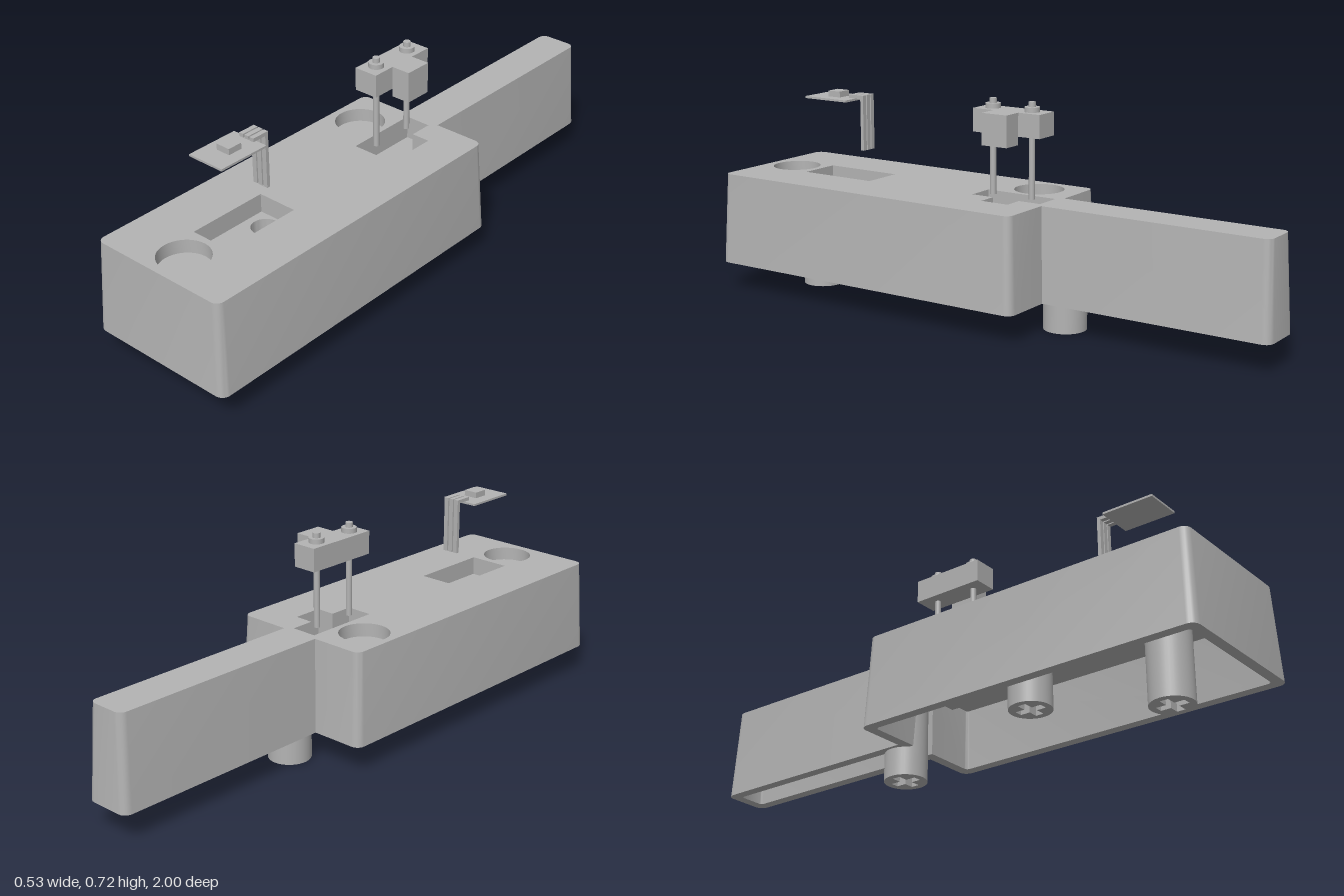
import * as THREE from 'three';
import { mergeGeometries, toCreasedNormals } from 'three/addons/utils/BufferGeometryUtils.js';

const grey = new THREE.MeshStandardMaterial({ color: 0xb3b3b3 });
grey.name = 'plain grey';

const TOP = 0.408, RIM = 0.095, CEILING = 0.3;

function mesh(parent, name, geometry) {
  const m = new THREE.Mesh(geometry, grey);
  m.name = name;
  parent.add(m);
  return m;
}

// Box given by its limits on each axis
function box(parent, name, x0, x1, y0, y1, z0, z1) {
  const m = mesh(parent, name, new THREE.BoxGeometry(x1 - x0, y1 - y0, z1 - z0));
  m.position.set((x0 + x1) / 2, (y0 + y1) / 2, (z0 + z1) / 2);
}

function cylinder(parent, name, r, y0, y1, x, z) {
  const m = mesh(parent, name, new THREE.CylinderGeometry(r, r, y1 - y0, 32));
  m.position.set(x, (y0 + y1) / 2, z);
}

// Plan outlines: lists of [x, z], counter-clockwise seen from above
const rect = (x0, x1, z0, z1) => [[x0, z1], [x1, z1], [x1, z0], [x0, z0]];

function circle(cx, cz, r, n = 40) {
  return Array.from({ length: n }, (_, i) => {
    const a = (i / n) * Math.PI * 2;
    return [cx + r * Math.cos(a), cz - r * Math.sin(a)];
  });
}

// Wide block with a narrow tail, moved inwards by d
function keyOutline(d, r) {
  const w = 0.266 - d, t = 0.083 - d, front = 1 - d, back = -0.215 + d, tail = -1 + d;
  const points = [];
  const corner = (x, z, quarter) => {
    const sx = Math.sign(x), sz = quarter === 2 || quarter === 3 ? 1 : -1;
    for (let i = 0; i <= 5; i++) {
      const a = (quarter + i / 5) * Math.PI / 2;
      points.push([x - sx * r + r * Math.cos(a), z - sz * r - r * Math.sin(a)]);
    }
  };
  corner(-w, front, 2);
  corner(w, front, 3);
  corner(w, back, 0);
  points.push([t, back]);
  corner(t, tail, 0);
  corner(-t, tail, 1);
  points.push([-t, back]);
  corner(-w, back, 1);
  return points;
}

// Flat face at height y, facing up or down
function face(outline, y, up, holes = []) {
  const s = up ? -1 : 1;
  const v = (list) => list.map(([x, z]) => new THREE.Vector2(x, s * z));
  const shape = new THREE.Shape(v(outline));
  for (const h of holes) shape.holes.push(new THREE.Path(v(h)));
  return new THREE.ShapeGeometry(shape).rotateX(s * Math.PI / 2).translate(0, y, 0).toNonIndexed();
}

// Wall between a lower and an upper outline
function wall(low, y0, high, y1, inward = false) {
  const pos = [], uv = [];
  for (let i = 0; i < low.length; i++) {
    const j = (i + 1) % low.length;
    const a = [low[i][0], y0, low[i][1]], b = [low[j][0], y0, low[j][1]];
    const c = [high[j][0], y1, high[j][1]], d = [high[i][0], y1, high[i][1]];
    const order = inward ? [a, c, b, a, d, c] : [a, b, c, a, c, d];
    for (const p of order) { pos.push(...p); uv.push(0, 0); }
  }
  const g = new THREE.BufferGeometry();
  g.setAttribute('position', new THREE.Float32BufferAttribute(pos, 3));
  g.setAttribute('uv', new THREE.Float32BufferAttribute(uv, 2));
  g.computeVertexNormals();
  return g;
}

const solid = (parts) => toCreasedNormals(mergeGeometries(parts), 0.7);

function addBody(root) {
  const body = new THREE.Group();
  body.name = 'keyBody';
  root.add(body);

  const sensorPocket = rect(-0.07, 0.07, 0.49, 0.77);
  const wireHole = circle(0, 0.545, 0.045);
  const railPocket = [[-0.045, 0.08], [0.045, 0.08], [0.045, 0], [0.11, 0],
    [0.11, -0.1], [0.045, -0.1], [0.045, -0.18], [-0.045, -0.18]];
  const dishes = [circle(0, 0.875, 0.083), circle(-0.145, -0.055, 0.083)];

  // Tapered hollow shell
  const outerLow = keyOutline(0, 0.028), outerTop = keyOutline(0.015, 0.025);
  const innerLow = keyOutline(0.035, 0.012), innerTop = keyOutline(0.045, 0.01);
  mesh(body, 'shell', solid([
    wall(outerLow, RIM, outerTop, TOP),
    face(outerTop, TOP, true, [sensorPocket, railPocket, ...dishes]),
    face(outerLow, RIM, false, [innerLow]),
    wall(innerLow, RIM, innerTop, CEILING, true),
    face(innerTop, CEILING, false, [wireHole]),
  ]));

  // Recesses in the top
  mesh(body, 'sensorRecess', solid([
    wall(sensorPocket, 0.345, sensorPocket, TOP, true),
    face(sensorPocket, 0.345, true, [wireHole]),
    wall(wireHole, CEILING, wireHole, 0.345, true),
  ]));
  mesh(body, 'railRecess', solid([
    wall(railPocket, CEILING, railPocket, TOP, true),
    face(railPocket, CEILING, true),
  ]));
  box(body, 'railRecessStep', -0.045, 0.045, CEILING, 0.33, -0.18, 0.08);
  box(body, 'railRecessBoss', -0.075, 0.14, 0.28, CEILING - 0.001, -0.17, 0.11);
  for (const d of dishes) {
    mesh(body, 'roundRecess', solid([wall(d, 0.363, d, TOP, true), face(d, 0.363, true)]));
  }

  // Hollow stems with a cross-shaped socket
  const a = 0.048, b = 0.014;
  const cross = [[a, b], [b, b], [b, a], [-b, a], [-b, b], [-a, b],
    [-a, -b], [-b, -b], [-b, -a], [b, -a], [b, -b], [a, -b]];
  for (const [z, y] of [[0.76, 0], [0.255, 0.12], [-0.25, 0]]) {
    const rim = circle(0, 0, 0.071);
    const stem = mesh(body, 'stem', solid([
      wall(rim, y, rim, CEILING),
      face(rim, y, false, [cross]),
      wall(cross.map(([x, v]) => [x, -v]).reverse(), y, cross.map(([x, v]) => [x, -v]).reverse(), CEILING, false),
    ]));
    stem.position.z = z;
  }
}

function addSensor(root) {
  const sensor = new THREE.Group();
  sensor.name = 'sensor';
  root.add(sensor);
  box(sensor, 'sensorPlate', -0.066, 0.066, 0.667, 0.674, 0.59, 0.77);
  box(sensor, 'sensorChip', -0.025, 0.025, 0.674, 0.694, 0.65, 0.7);
  // Three bent leads
  for (const x of [-0.021, 0, 0.021]) {
    box(sensor, 'leadTop', x - 0.008, x + 0.008, 0.677, 0.689, 0.545, 0.605);
    box(sensor, 'leadDrop', x - 0.008, x + 0.008, 0.5, 0.677, 0.545, 0.557);
  }
}

function addTerminal(root) {
  const terminal = new THREE.Group();
  terminal.name = 'terminalBlock';
  root.add(terminal);
  box(terminal, 'block', -0.042, 0.042, 0.615, 0.692, -0.175, 0.08);
  box(terminal, 'blockTab', 0.042, 0.108, 0.588, 0.692, -0.095, 0);
  // Rods with collars and pins
  for (const z of [0.03, -0.12]) {
    cylinder(terminal, 'rod', 0.01, 0.408, 0.615, 0, z);
    cylinder(terminal, 'collar', 0.025, 0.692, 0.708, 0, z);
    cylinder(terminal, 'pin', 0.012, 0.708, 0.724, 0, z);
  }
}

export function createModel() {
  const root = new THREE.Group();
  root.name = 'keyAssembly';
  addBody(root);
  addSensor(root);
  addTerminal(root);
  return root;
}
